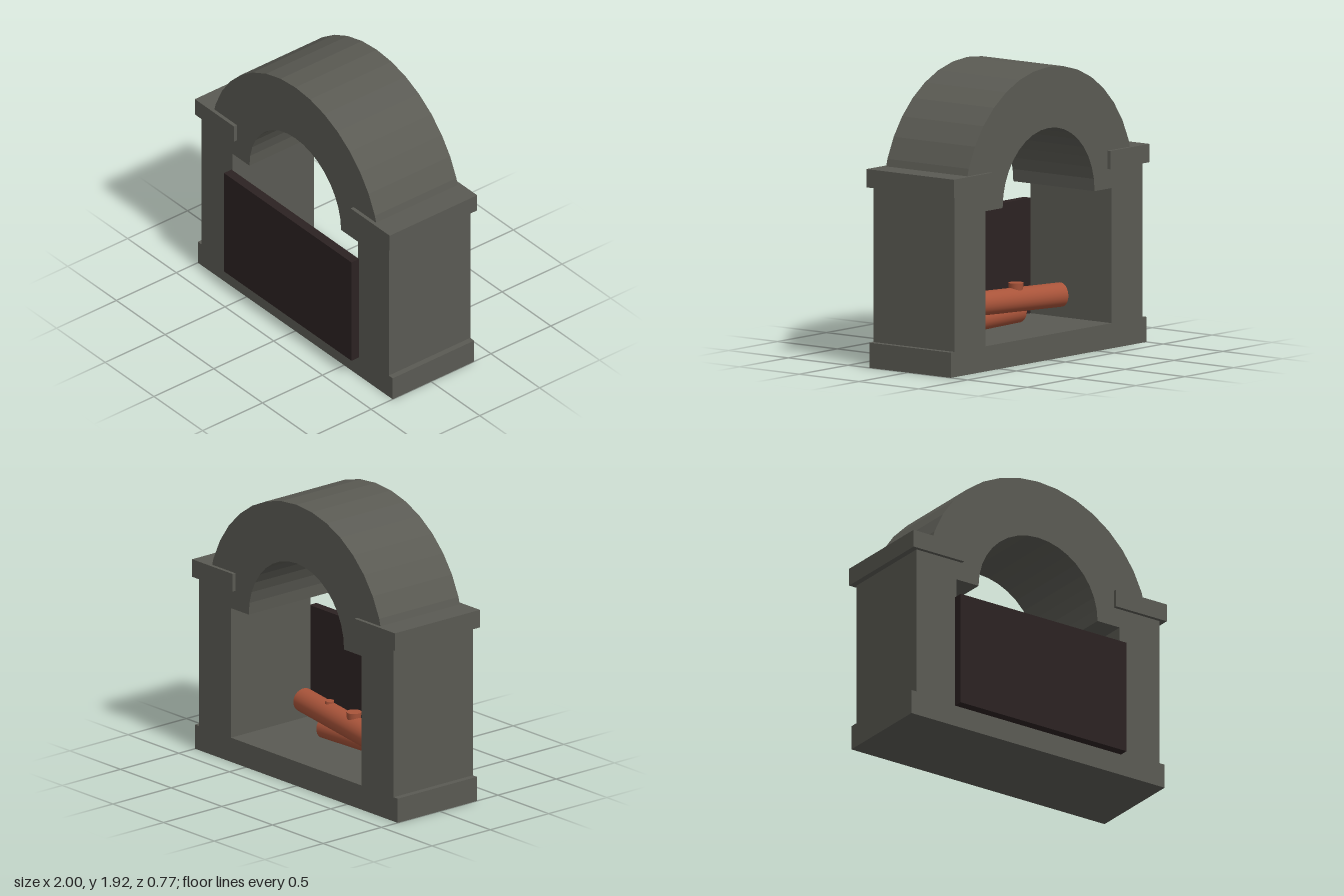
import * as THREE from 'three';

const stone = new THREE.MeshStandardMaterial({ color: 0x5a5a53 });
stone.name = 'stone';
const iron = new THREE.MeshStandardMaterial({ color: 0x2c2222 });
iron.name = 'dark iron';
const wood = new THREE.MeshStandardMaterial({ color: 0xa9543a });
wood.name = 'red wood';

const BACK = -0.36, FRONT = 0.32, SPRING = 1.05;

// Points on an arc around the arch centre, in 10 degree steps
function arc(radius, from, to) {
  const points = [];
  for (let a = from; a <= to; a += 10) {
    const t = THREE.MathUtils.degToRad(a);
    points.push(new THREE.Vector2(radius * Math.cos(t), SPRING + radius * Math.sin(t)));
  }
  return points;
}

const pts = (list) => list.map(([x, y]) => new THREE.Vector2(x, y));

function box(name, material, [x0, x1], [y0, y1], [z0, z1]) {
  const mesh = new THREE.Mesh(new THREE.BoxGeometry(x1 - x0, y1 - y0, z1 - z0), material);
  mesh.position.set((x0 + x1) / 2, (y0 + y1) / 2, (z0 + z1) / 2);
  mesh.name = name;
  return mesh;
}

// Round log between two points
function log(name, from, to, radius, endRadius = radius) {
  const a = new THREE.Vector3(...from), b = new THREE.Vector3(...to);
  const dir = b.clone().sub(a);
  const mesh = new THREE.Mesh(new THREE.CylinderGeometry(endRadius, radius, dir.length(), 24), wood);
  mesh.position.copy(a).add(b).multiplyScalar(0.5);
  mesh.quaternion.setFromUnitVectors(new THREE.Vector3(0, 1, 0), dir.normalize());
  mesh.name = name;
  return mesh;
}

export function createModel() {
  const model = new THREE.Group();
  model.name = 'fireplace';

  // Base, pillars and arch in one outline
  const outline = new THREE.Shape([
    ...pts([[-1, 0], [1, 0], [1, 0.165], [0.96, 0.165], [0.96, 1.201]]),
    ...arc(0.87, 10, 170),
    ...pts([[-0.96, 1.201], [-0.96, 0.165], [-1, 0.165]]),
  ]);
  // Opening: square hearth below, round arch above
  outline.holes.push(new THREE.Path([
    ...pts([[-0.645, 0.165], [0.645, 0.165], [0.645, SPRING]]),
    ...arc(0.47, 0, 180),
    ...pts([[-0.645, SPRING]]),
  ]));
  const bodyGeometry = new THREE.ExtrudeGeometry(outline, { depth: FRONT - BACK, bevelEnabled: false });
  const body = new THREE.Mesh(bodyGeometry, stone);
  body.position.z = BACK;
  body.name = 'stoneSurround';
  model.add(body);

  // Capitals on both pillars
  model.add(box('leftCapital', stone, [0.6, 1], [1.18, 1.3], [-0.385, 0.345]));
  model.add(box('rightCapital', stone, [-1, -0.6], [1.18, 1.3], [-0.385, 0.345]));

  // Fire screen across the front
  model.add(box('fireScreen', iron, [-0.655, 0.655], [0.145, 0.92], [FRONT, 0.383]));

  // Logs on the hearth, with short branch stubs
  const logs = new THREE.Group();
  logs.name = 'logs';
  logs.add(log('upperLog', [0.5, 0.35, 0.14], [-0.5, 0.34, -0.05], 0.08));
  logs.add(log('lowerLog', [0.25, 0.24, 0.1], [-0.28, 0.24, 0.13], 0.075));
  logs.add(log('largeStub', [-0.13, 0.35, 0.02], [-0.13, 0.455, 0.02], 0.04, 0.05));
  logs.add(log('smallStub', [0.18, 0.35, 0.08], [0.18, 0.44, 0.08], 0.03));
  model.add(logs);

  return model;
}
